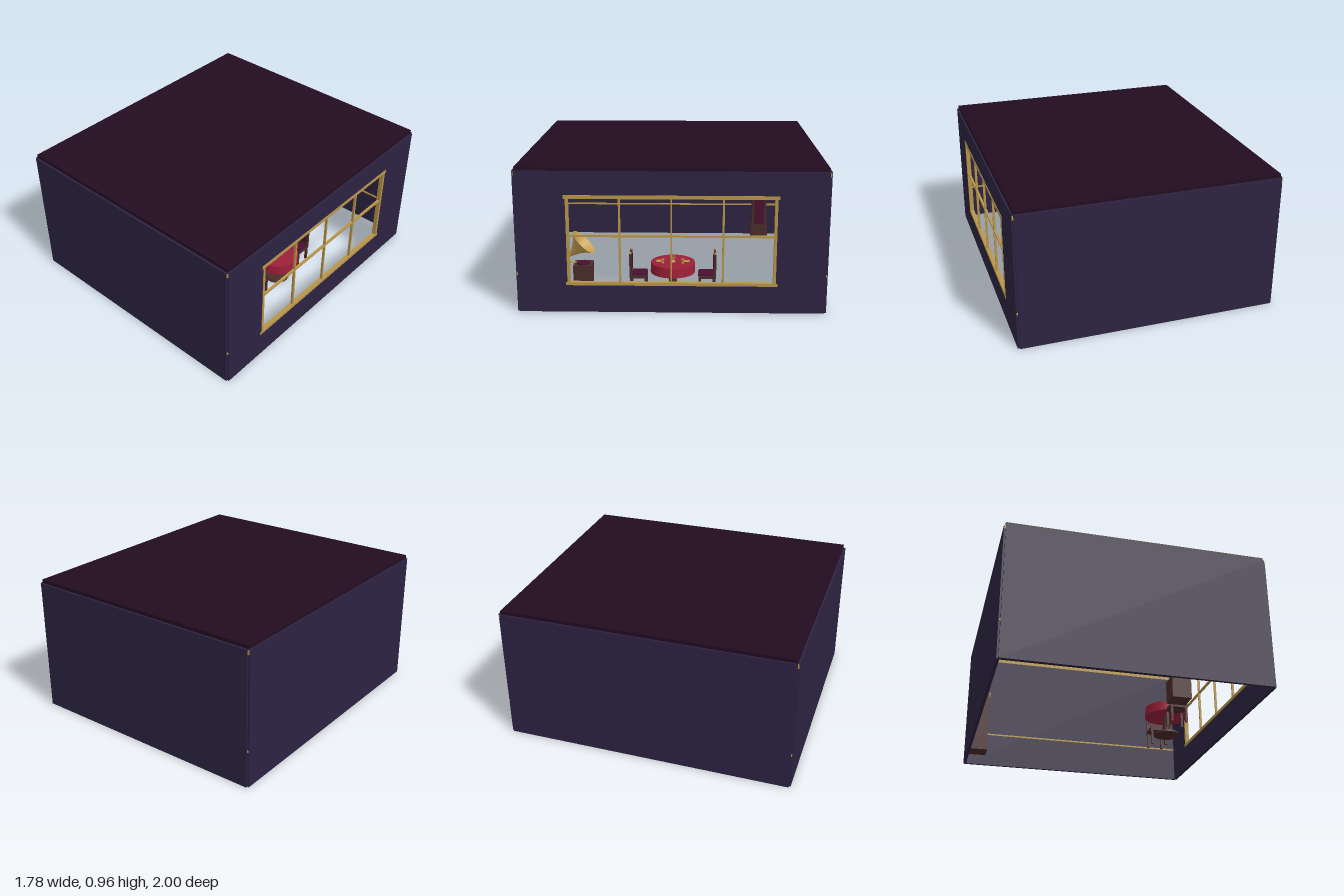
import * as THREE from 'three';

const mat = (name, color, side = THREE.FrontSide) => {
  const m = new THREE.MeshStandardMaterial({ color, side });
  m.name = name;
  return m;
};

export function createModel() {
  const wallMat = mat('wall purple', 0x2d2342);
  const ceilingMat = mat('ceiling plum', 0x230d21);
  const gold = mat('gold', 0xb8964a);
  const hornGold = mat('horn gold', 0xc8a050, THREE.DoubleSide);
  const wood = mat('dark wood', 0x4a2c2a);
  const red = mat('tablecloth red', 0x9c1f38);
  const burgundy = mat('burgundy', 0x4a0f2e);

  const room = new THREE.Group();
  room.name = 'diningRoom';

  const add = (parent, name, geo, material, x = 0, y = 0, z = 0) => {
    const mesh = new THREE.Mesh(geo, material);
    mesh.name = name;
    mesh.position.set(x, y, z);
    parent.add(mesh);
    return mesh;
  };
  const box = (parent, name, m, w, h, d, x, y, z) =>
    add(parent, name, new THREE.BoxGeometry(w, h, d), m, x, y, z);
  const cyl = (parent, name, m, rt, rb, h, x, y, z, n = 24) =>
    add(parent, name, new THREE.CylinderGeometry(rt, rb, h, n), m, x, y, z);
  const group = (name, x, y, z) => {
    const g = new THREE.Group();
    g.name = name;
    g.position.set(x, y, z);
    room.add(g);
    return g;
  };

  // Walls and ceiling; the room has no floor
  const H = 0.935;
  box(room, 'ceiling', ceilingMat, 1.75, 0.03, 1.97, 0, 0.945, 0);
  box(room, 'frontWall', wallMat, 1.75, H, 0.02, 0, H / 2, 0.99);
  box(room, 'backWall', wallMat, 1.75, H, 0.02, 0, H / 2, -0.99);
  box(room, 'rightWall', wallMat, 0.02, H, 1.975, -0.877, H / 2, 0);

  // Window wall with a rectangular opening
  const rect = (P, a, y0, y1) => {
    const p = new P();
    p.moveTo(-a, y0);
    p.lineTo(a, y0);
    p.lineTo(a, y1);
    p.lineTo(-a, y1);
    p.closePath();
    return p;
  };
  const wallShape = rect(THREE.Shape, 0.9875, 0, H);
  wallShape.holes.push(rect(THREE.Path, 0.66, 0.195, 0.77));
  const windowWall = new THREE.ExtrudeGeometry(wallShape, { depth: 0.02, bevelEnabled: false });
  windowWall.rotateY(Math.PI / 2);
  add(room, 'windowWall', windowWall, wallMat, 0.867, 0, 0);

  // Window frame and glazing bars
  const win = group('window', 0.875, 0, 0);
  box(win, 'windowHead', gold, 0.03, 0.024, 1.36, 0, 0.77, 0);
  box(win, 'windowSill', gold, 0.03, 0.02, 1.36, 0, 0.193, 0);
  for (const s of [-1, 1]) {
    box(win, 'windowPost', gold, 0.03, 0.58, 0.018, 0, 0.48, s * 0.66);
    box(win, 'windowMullion', gold, 0.016, 0.57, 0.013, 0, 0.48, s * 0.33);
  }
  box(win, 'centreMullion', gold, 0.016, 0.57, 0.01, 0, 0.48, 0);
  box(win, 'crossBar', gold, 0.016, 0.013, 1.32, 0, 0.513, 0);

  // Chair rail and crown moulding around three walls
  for (const [name, y, h] of [['chairRail', 0.255, 0.012], ['crownMoulding', 0.917, 0.026]]) {
    for (const s of [-1, 1]) box(room, name, gold, 1.768, h, 0.022, 0, y, s * 0.984);
    box(room, name, gold, 0.022, h, 1.99, -0.872, y, 0);
  }
  box(room, 'crownMoulding', gold, 0.014, 0.026, 1.96, 0.862, 0.917, 0);

  // Round pedestal table with cloth
  const table = group('table', 0.48, 0, 0);
  cyl(table, 'tableBase', wood, 0.085, 0.093, 0.018, 0, 0.009, 0);
  cyl(table, 'pedestal', wood, 0.022, 0.03, 0.14, 0, 0.08, 0, 16);
  cyl(table, 'tablecloth', red, 0.15, 0.154, 0.068, 0, 0.174, 0, 32);

  // Candelabra and goblets
  cyl(table, 'candelabraFoot', gold, 0.008, 0.02, 0.012, 0, 0.214, 0, 12);
  cyl(table, 'candelabraStem', gold, 0.004, 0.004, 0.055, 0, 0.24, 0, 8);
  box(table, 'candelabraArm', gold, 0.005, 0.005, 0.034, 0, 0.232, 0);
  for (const s of [-1, 1]) {
    cyl(table, 'candle', gold, 0.003, 0.003, 0.024, 0, 0.246, s * 0.016, 8);
    cyl(table, 'plate', gold, 0.024, 0.018, 0.005, 0, 0.2105, s * 0.095, 20);
    cyl(table, 'gobletStem', gold, 0.003, 0.009, 0.014, 0.03, 0.215, s * 0.068, 10);
    cyl(table, 'gobletCup', gold, 0.012, 0.006, 0.014, 0.03, 0.229, s * 0.068, 12);
  }

  // Two chairs facing the table
  for (const s of [-1, 1]) {
    const chair = group('chair', 0.48, 0, s * 0.235);
    if (s > 0) chair.rotation.y = Math.PI;
    box(chair, 'seatFrame', wood, 0.125, 0.018, 0.12, 0, 0.115, 0);
    box(chair, 'seatCushion', burgundy, 0.112, 0.012, 0.1, 0, 0.13, 0.006);
    box(chair, 'chairBack', wood, 0.125, 0.155, 0.014, 0, 0.2, -0.055);
    box(chair, 'backPad', burgundy, 0.09, 0.1, 0.006, 0, 0.205, -0.046);
    for (const x of [-0.052, 0.052]) {
      for (const z of [-0.05, 0.05]) box(chair, 'chairLeg', wood, 0.016, 0.108, 0.016, x, 0.054, z);
      add(chair, 'backKnob', new THREE.SphereGeometry(0.009, 12, 8), gold, x, 0.282, -0.055);
    }
  }

  // Gramophone: cabinet, turntable and flared horn
  const player = group('gramophone', 0.36, 0, 0.635);
  box(player, 'cabinet', wood, 0.13, 0.15, 0.13, 0, 0.075, 0);
  cyl(player, 'turntable', burgundy, 0.048, 0.048, 0.008, 0, 0.154, 0);
  const hornProfile = [[0.006, 0], [0.018, 0.03], [0.04, 0.075], [0.068, 0.115], [0.105, 0.15]]
    .map(([r, y]) => new THREE.Vector2(r, y));
  const horn = add(player, 'horn', new THREE.LatheGeometry(hornProfile, 32), hornGold, 0, 0.2, 0.1);
  horn.rotation.x = -Math.PI / 4;
  const armCurve = new THREE.QuadraticBezierCurve3(
    new THREE.Vector3(0, 0.155, 0.045), new THREE.Vector3(0, 0.165, 0.125), new THREE.Vector3(0, 0.203, 0.097));
  add(player, 'hornNeck', new THREE.TubeGeometry(armCurve, 10, 0.006, 8), gold);

  // Longcase clock against the right wall
  const clock = group('clock', -0.805, 0, -0.685);
  box(clock, 'clockBase', wood, 0.125, 0.1, 0.135, 0, 0.05, 0);
  box(clock, 'clockBody', wood, 0.11, 0.46, 0.118, 0, 0.32, 0);
  box(clock, 'clockCrown', wood, 0.125, 0.025, 0.14, 0, 0.56, 0);
  box(clock, 'clockDoor', burgundy, 0.006, 0.25, 0.08, 0.056, 0.245, 0);
  const face = cyl(clock, 'clockFace', gold, 0.044, 0.044, 0.008, 0.058, 0.45, 0.006, 32);
  face.rotation.z = -Math.PI / 2;
  box(clock, 'hourHand', burgundy, 0.003, 0.022, 0.004, 0.064, 0.46, 0.006);
  box(clock, 'minuteHand', burgundy, 0.003, 0.004, 0.03, 0.064, 0.45, -0.008);
  for (const s of [-1, 1]) cyl(clock, 'finial', gold, 0.003, 0.009, 0.085, 0.02, 0.615, s * 0.045, 12);

  return room;
}
